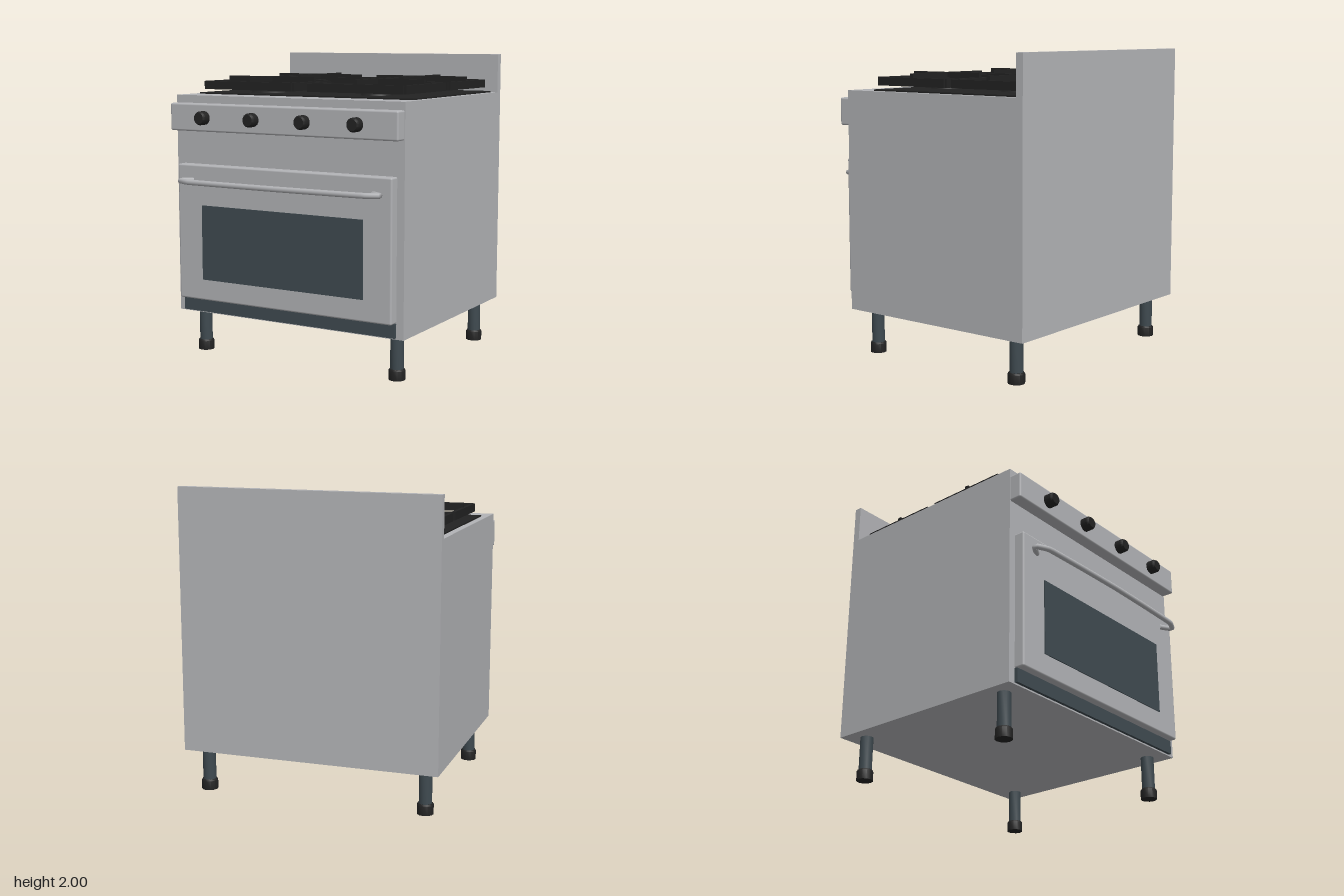
import * as THREE from 'three';
import { RoundedBoxGeometry } from 'three/addons/geometries/RoundedBoxGeometry.js';
import { toCreasedNormals } from 'three/addons/utils/BufferGeometryUtils.js';

const material = (name, color) => Object.assign(new THREE.MeshStandardMaterial({ color }), { name });

export function createModel() {
  const steel = material('brushed steel', 0xb2b3b6);
  const slate = material('dark slate', 0x3f4a50);
  const black = material('black iron', 0x222222);
  const model = new THREE.Group();
  model.name = 'stove';

  const add = (name, geometry, mat, parent = model) => {
    const mesh = new THREE.Mesh(geometry, mat);
    mesh.name = name;
    parent.add(mesh);
    return mesh;
  };
  // Box given by its low and high limits on each axis
  const box = (name, mat, [x0, x1], [y0, y1], [z0, z1], parent = model, bevel = 0) => {
    const size = [x1 - x0, y1 - y0, z1 - z0];
    const geometry = bevel ? new RoundedBoxGeometry(...size, 2, bevel) : new THREE.BoxGeometry(...size);
    geometry.translate((x0 + x1) / 2, (y0 + y1) / 2, (z0 + z1) / 2);
    return add(name, geometry, mat, parent);
  };
  // Turned solid from [radius, height] pairs
  const turned = (profile, sides) => toCreasedNormals(
    new THREE.LatheGeometry(profile.map(p => new THREE.Vector2(...p)), sides), 0.6);

  // Cabinet
  box('body', steel, [-0.85, 0.85], [0.29, 1.74], [-0.81, 0.62]);
  box('backsplash', steel, [-0.85, 0.85], [1.74, 2], [-0.81, -0.76]);
  box('controlPanel', steel, [-0.845, 0.845], [1.51, 1.69], [0.6, 0.7], model, 0.012);
  box('kickPlate', slate, [-0.8, 0.8], [0.3, 0.39], [0.61, 0.64]);

  // Oven door with window and handle
  const door = new THREE.Group();
  door.name = 'ovenDoor';
  model.add(door);
  box('doorPanel', steel, [-0.8, 0.8], [0.39, 1.29], [0.6, 0.688], door, 0.012);
  box('doorWindow', slate, [-0.605, 0.605], [0.53, 1.025], [0.687, 0.694], door);
  const path = [[-0.67, 0.685], [-0.75, 0.735], [-0.66, 0.778], [-0.33, 0.788], [0, 0.793],
    [0.33, 0.788], [0.66, 0.778], [0.75, 0.735], [0.67, 0.685]];
  const curve = new THREE.CatmullRomCurve3(
    path.map(([x, z]) => new THREE.Vector3(x, 1.185, z)), false, 'catmullrom', 0.12);
  add('doorHandle', new THREE.TubeGeometry(curve, 64, 0.018, 8), steel, door);

  // Control knobs
  const knob = turned([[0.045, 0], [0.045, 0.048], [0.036, 0.062], [0, 0.062]], 14);
  knob.rotateX(Math.PI / 2);
  for (const x of [-0.57, -0.19, 0.19, 0.565]) {
    add('knob', knob, black).position.set(x, 1.6, 0.7);
  }

  // Cooktop
  box('cooktop', black, [-0.805, 0.805], [1.738, 1.749], [-0.745, 0.43]);

  // Burner caps and grates, large and small burners on opposite diagonals
  for (const x of [-0.405, 0.405]) {
    for (const z of [-0.47, 0.155]) {
      const r = x * (z + 0.2) < 0 ? 0.14 : 0.105;
      const burner = turned([[r, 0], [r * 0.93, 0.012], [r * 0.7, 0.028], [r * 0.62, 0.022], [0, 0.022]], 16);
      add('burner', burner, black).position.set(x, 1.748, z);

      const grate = new THREE.Group();
      grate.name = 'grate';
      grate.position.set(x, 0, z);
      model.add(grate);
      for (const s of [-1, 1]) {
        const side = s * 0.342, end = s * 0.281;
        box('grateSide', black, [side - 0.013, side + 0.013], [1.773, 1.827], [-0.28, 0.28], grate);
        box('grateEnd', black, [-0.341, 0.341], [1.773, 1.827], [end - 0.013, end + 0.013], grate);
      }
      box('grateBarAcross', black, [-0.341, 0.341], [1.822, 1.855], [-0.013, 0.013], grate);
      box('grateBarDeep', black, [-0.013, 0.013], [1.822, 1.855], [-0.281, 0.281], grate);
    }
  }

  // Legs with rubber feet
  const leg = turned([[0.043, 0.06], [0.043, 0.29]], 12);
  const foot = turned([[0, 0], [0.054, 0], [0.054, 0.06], [0.047, 0.07], [0, 0.07]], 12);
  for (const x of [-0.738, 0.738]) {
    for (const z of [-0.68, 0.487]) {
      add('leg', leg, slate).position.set(x, 0, z);
      add('foot', foot, black).position.set(x, 0, z);
    }
  }
  return model;
}
